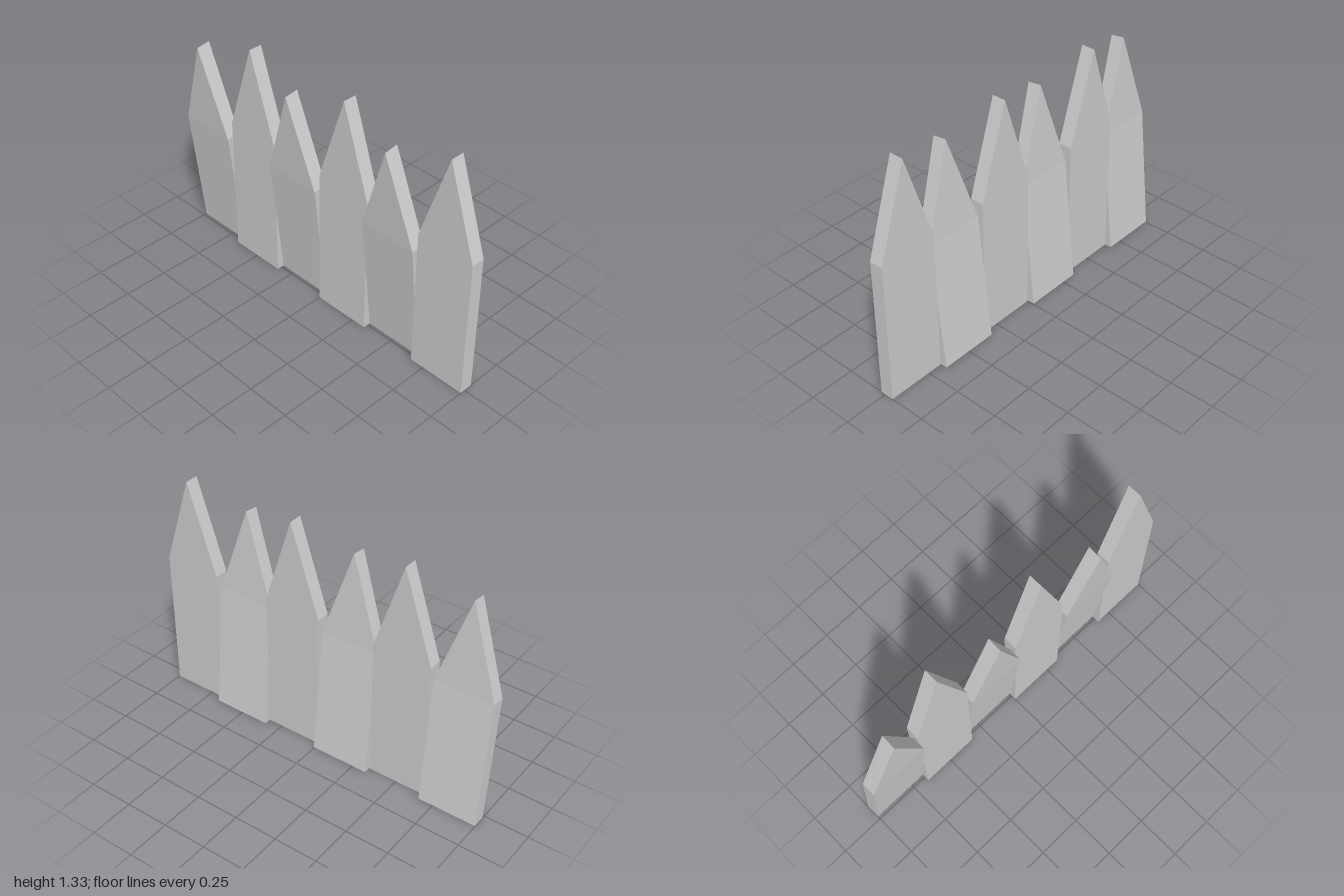
import * as THREE from 'three';

const material = new THREE.MeshStandardMaterial({ color: 0xcccccc, flatShading: true });
const WIDTH = 1 / 3;

// Pointed plank: front and back profiles hold [y, z] at base, shoulder and tip
function plankGeometry(front, back) {
  const h = WIDTH / 2;
  const ring = ([base, shoulder, tip]) => [
    [-h, ...base], [h, ...base], [h, ...shoulder], [0, ...tip], [-h, ...shoulder],
  ];
  const points = [...ring(front), ...ring(back)];
  const index = [];
  // Front and back faces, split along the shoulder line
  for (const [a, b, c] of [[0, 1, 2], [0, 2, 4], [4, 2, 3]]) {
    index.push(a, b, c, a + 5, c + 5, b + 5);
  }
  // Edges around the outline
  for (let i = 0; i < 5; i++) {
    const j = (i + 1) % 5;
    index.push(i, i + 5, j, j, i + 5, j + 5);
  }
  const indexed = new THREE.BufferGeometry();
  indexed.setAttribute('position', new THREE.Float32BufferAttribute(points.flat(), 3));
  indexed.setIndex(index);
  const geometry = indexed.toNonIndexed();
  geometry.computeVertexNormals();
  return geometry;
}

export function createModel() {
  const group = new THREE.Group();
  group.name = 'picketFence';

  const upright = plankGeometry(
    [[0, 0.027], [0.815, 0.027], [1.328, 0.027]],
    [[0, -0.051], [0.815, -0.051], [1.328, -0.051]],
  );
  // Leaning plank, bent slightly at the shoulder
  const leaning = plankGeometry(
    [[0, -0.017], [0.722, 0.061], [1.23, 0.095]],
    [[0.006, -0.095], [0.73, -0.016], [1.241, 0.016]],
  );

  // Alternate leaning and upright planks from right to left
  for (let i = 0; i < 6; i++) {
    const isLeaning = i % 2 === 0;
    const plank = new THREE.Mesh(isLeaning ? leaning : upright, material);
    plank.name = `${isLeaning ? 'leaning' : 'upright'}Plank${i + 1}`;
    plank.position.x = -1 + WIDTH * (i + 0.5);
    group.add(plank);
  }
  return group;
}
